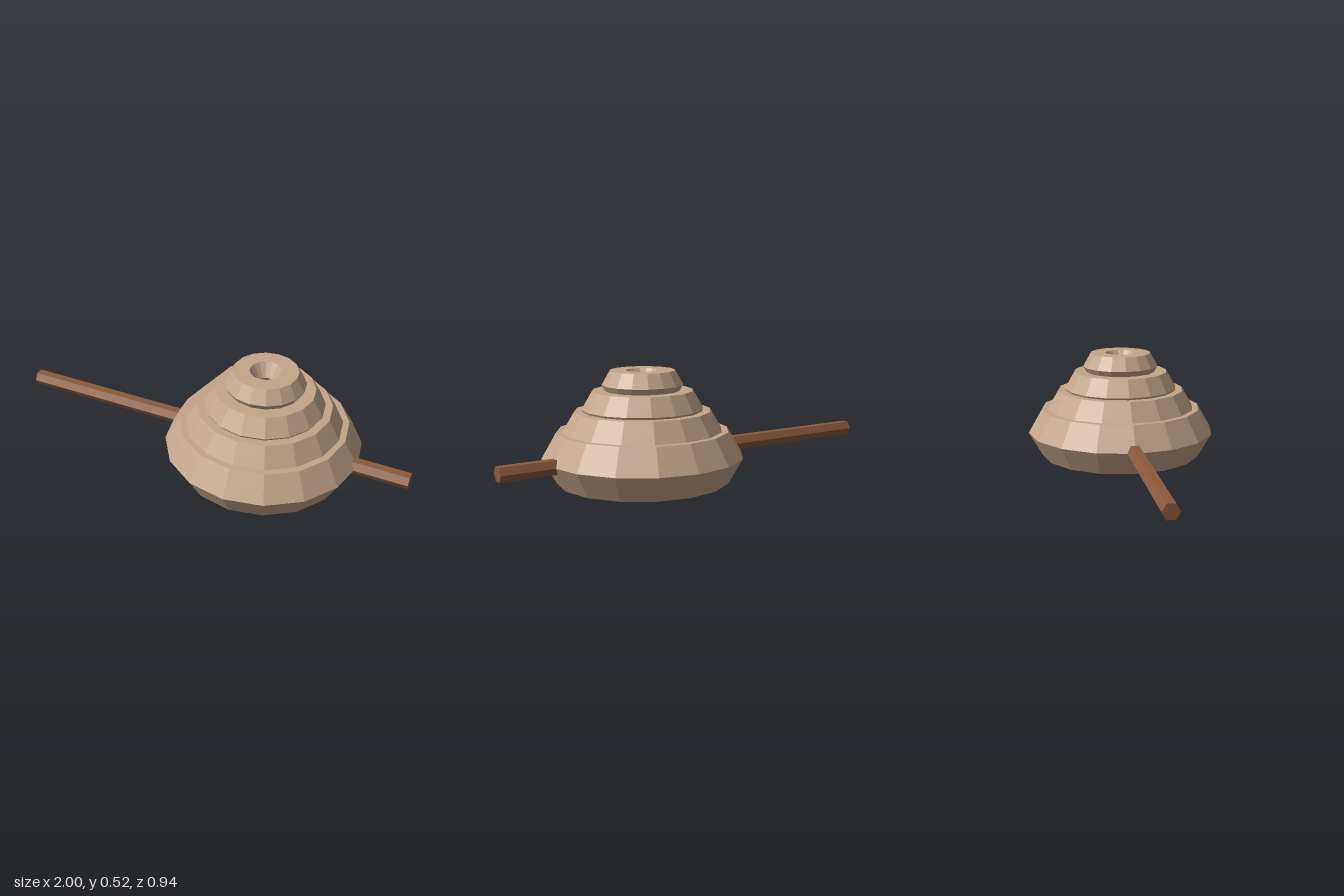
import * as THREE from 'three';

const clay = new THREE.MeshStandardMaterial({ name: 'tanClay', color: 0xc4a68a, flatShading: true });
const wood = new THREE.MeshStandardMaterial({ name: 'brownWood', color: 0x8b5a3c, flatShading: true });

export function createModel() {
  const group = new THREE.Group();
  group.name = 'ringStackOnRod';

  // Hexagonal-section rings, shrinking evenly toward the top
  const rings = new THREE.Group();
  rings.name = 'ringStack';
  rings.position.x = 0.28;
  for (let i = 0; i < 4; i++) {
    const radius = 0.333 - i * 0.073;
    const tube = 0.139 - i * 0.021;
    const geometry = new THREE.TorusGeometry(radius, tube, 6, 16).rotateX(-Math.PI / 2);
    const ring = new THREE.Mesh(geometry, clay);
    ring.name = `ring${i + 1}`;
    ring.position.y = 0.1204 + i * 0.1115;
    rings.add(ring);
  }
  group.add(rings);

  // Six-sided rod running through the lowest ring
  const rod = new THREE.Mesh(new THREE.CylinderGeometry(0.0385, 0.0385, 2, 6).rotateZ(Math.PI / 2), wood);
  rod.name = 'rod';
  rod.position.y = 0.1204;
  group.add(rod);

  return group;
}
